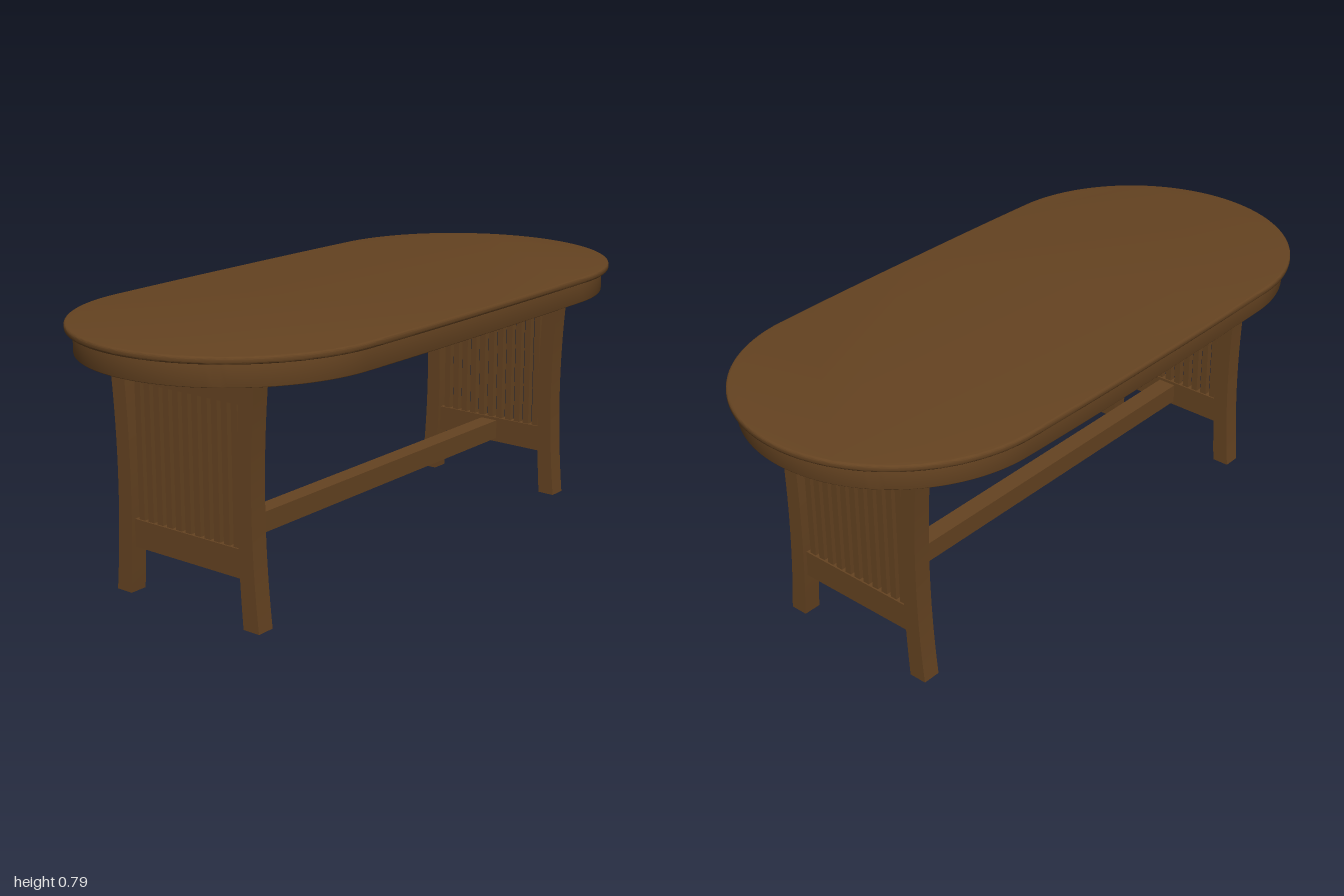
import * as THREE from 'three';
import { toCreasedNormals } from 'three/addons/utils/BufferGeometryUtils.js';

const wood = new THREE.MeshStandardMaterial({ color: 0x654321 });
wood.name = 'brown wood';

function add(parent, name, geometry, x = 0, y = 0, z = 0) {
  const mesh = new THREE.Mesh(geometry, wood);
  mesh.name = name;
  mesh.position.set(x, y, z);
  parent.add(mesh);
  return mesh;
}

// Rounded oval with gently bowed long sides
function ovalShape(halfLength, halfWidth) {
  const shape = new THREE.Shape();
  const cx = halfLength - halfWidth, r = halfWidth, h = halfWidth - 0.005;
  shape.absellipse(cx, 0, r, h, -Math.PI / 2, Math.PI / 2, false);
  shape.quadraticCurveTo(cx * 0.5, halfWidth + 0.001, 0, halfWidth);
  shape.quadraticCurveTo(-cx * 0.5, halfWidth + 0.001, -cx, h);
  shape.absellipse(-cx, 0, r, h, Math.PI / 2, Math.PI * 1.5, false);
  shape.quadraticCurveTo(-cx * 0.5, -halfWidth - 0.001, 0, -halfWidth);
  shape.quadraticCurveTo(cx * 0.5, -halfWidth - 0.001, cx, -h);
  return shape;
}

// Horizontal oval slab with softened edges, its base at y = 0
function slab(halfLength, halfWidth, height, bevel) {
  const geometry = new THREE.ExtrudeGeometry(ovalShape(halfLength, halfWidth), {
    depth: height - 2 * bevel, curveSegments: 40,
    bevelThickness: bevel, bevelSize: bevel, bevelOffset: -bevel, bevelSegments: 3,
  });
  geometry.translate(0, 0, bevel);
  geometry.rotateX(-Math.PI / 2);
  return toCreasedNormals(geometry, 0.6);
}

// Leg that curves inward at mid height; side is +1 or -1 along z
function legGeometry(side) {
  const shape = new THREE.Shape();
  shape.moveTo(0.212 * side, 0);
  shape.lineTo(0.267 * side, 0);
  shape.quadraticCurveTo(0.228 * side, 0.36, 0.267 * side, 0.71);
  shape.lineTo(0.215 * side, 0.71);
  shape.quadraticCurveTo(0.183 * side, 0.36, 0.212 * side, 0);
  const geometry = new THREE.ExtrudeGeometry(shape, { depth: 0.055, bevelEnabled: false, curveSegments: 16 });
  geometry.translate(0, 0, -0.0275);
  geometry.rotateY(-Math.PI / 2);
  return toCreasedNormals(geometry, 0.6);
}

// Slatted end frame: two legs, two rails and eleven slats
function endFrame(name, x) {
  const frame = new THREE.Group();
  frame.name = name;
  frame.position.x = x;
  add(frame, 'frontLeg', legGeometry(1));
  add(frame, 'backLeg', legGeometry(-1));
  add(frame, 'upperEndRail', new THREE.BoxGeometry(0.03, 0.09, 0.428), 0, 0.665, 0);
  add(frame, 'lowerEndRail', new THREE.BoxGeometry(0.03, 0.083, 0.41), 0, 0.1795, 0);
  for (let i = -5; i <= 5; i++) {
    add(frame, 'slat', new THREE.BoxGeometry(0.02, 0.41, 0.021), 0, 0.42, i * 0.0354);
  }
  return frame;
}

export function createModel() {
  const table = new THREE.Group();
  table.name = 'table';

  // Top and the apron beneath it
  add(table, 'tabletop', slab(1, 0.475, 0.02, 0.006), 0, 0.77, 0);
  add(table, 'apron', slab(0.977, 0.455, 0.068, 0.002), 0, 0.705, 0);

  // End frames
  table.add(endFrame('leftEndFrame', 0.729), endFrame('rightEndFrame', -0.737));

  // Long rails joining the end frames
  add(table, 'upperLongRail', new THREE.BoxGeometry(1.44, 0.066, 0.06), -0.004, 0.674, 0);
  add(table, 'lowerStretcher', new THREE.BoxGeometry(1.44, 0.062, 0.06), -0.004, 0.181, 0);
  return table;
}
